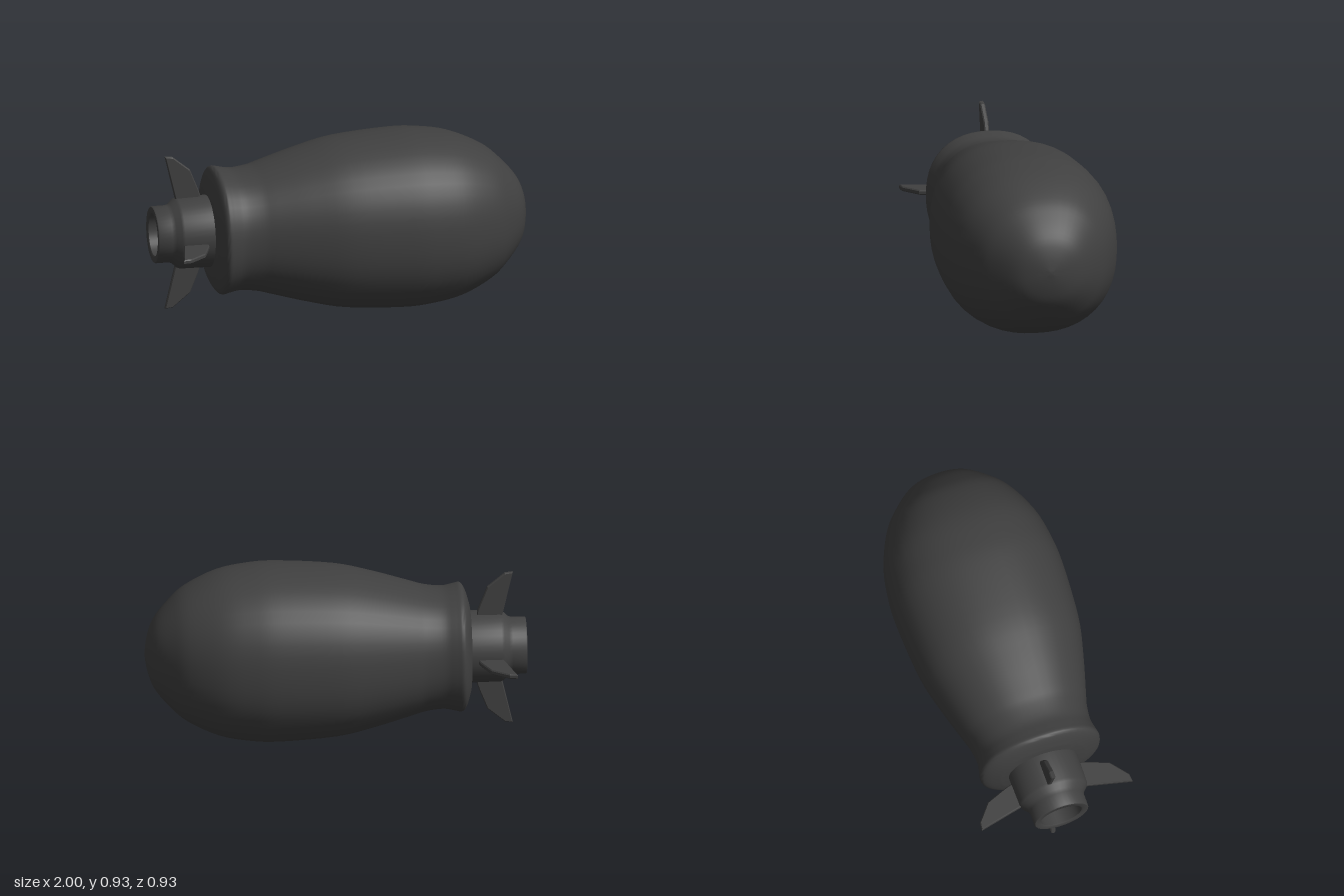
import * as THREE from 'three';
import { toCreasedNormals } from 'three/addons/utils/BufferGeometryUtils.js';

const CENTRE_Y = 0.466;

// Turns [x, radius] pairs into a solid around the x axis.
// A power above 2 swells the round section toward a soft square.
function turned(points, sides, power, crease) {
  const geo = new THREE.LatheGeometry(points, sides);
  const pos = geo.attributes.position;
  for (let i = 0; i < pos.count; i++) {
    const x = pos.getX(i), z = pos.getZ(i), r = Math.hypot(x, z);
    if (r < 1e-6) continue;
    const k = Math.pow(Math.pow(Math.abs(x / r), power) + Math.pow(Math.abs(z / r), power), -1 / power);
    pos.setX(i, x * k);
    pos.setZ(i, z * k);
  }
  geo.rotateZ(-Math.PI / 2);
  return toCreasedNormals(geo, crease);
}

const profile = (pairs) => pairs.map(([x, r]) => new THREE.Vector2(r, x));

export function createModel() {
  const model = new THREE.Group();
  const material = new THREE.MeshStandardMaterial({ color: 0x404040 });
  const add = (name, geometry, parent) => {
    const mesh = new THREE.Mesh(geometry, material);
    mesh.name = name;
    parent.add(mesh);
    return mesh;
  };

  const shell = new THREE.Group();
  shell.name = 'shell';
  shell.position.y = CENTRE_Y;
  model.add(shell);

  // Bulbous body with a flared rim and flat rear face
  const outline = new THREE.SplineCurve(profile([
    [-0.705, 0.23], [-0.685, 0.295], [-0.66, 0.33], [-0.62, 0.325], [-0.56, 0.315],
    [-0.47, 0.325], [-0.39, 0.347], [-0.2, 0.4], [0, 0.443], [0.3, 0.463],
    [0.46, 0.455], [0.62, 0.424], [0.78, 0.35], [0.87, 0.275], [0.95, 0.18],
    [0.985, 0.09], [1, 0],
  ])).getPoints(64);
  outline[outline.length - 1].x = 0;
  const bodyPoints = [new THREE.Vector2(0, -0.705), ...outline];
  add('body', turned(bodyPoints, 48, 2.3, 0.8), shell);

  // Hollow tail tube, stepped down at the open end
  add('tailTube', turned(profile([
    [-0.84, 0], [-0.84, 0.112], [-0.995, 0.112], [-1, 0.118], [-1, 0.146], [-0.995, 0.15],
    [-0.925, 0.15], [-0.905, 0.157], [-0.88, 0.182], [-0.865, 0.187], [-0.69, 0.19],
  ]), 40, 2, 0.7), shell);

  // Four swept fins, set slightly off the axis planes
  const outlineFin = new THREE.Shape(profile([
    [-0.865, 0.16], [-0.745, 0.16], [-0.748, 0.2], [-0.76, 0.235],
    [-0.8, 0.335], [-0.89, 0.408], [-0.925, 0.413],
  ]).map((p) => new THREE.Vector2(p.y, p.x)));
  const finGeo = new THREE.ExtrudeGeometry(outlineFin, {
    depth: 0.014, bevelEnabled: true, bevelThickness: 0.006, bevelSize: 0.005, bevelSegments: 1,
  });
  finGeo.translate(0, 0, -0.007);
  const fins = new THREE.Group();
  fins.name = 'fins';
  shell.add(fins);
  ['top', 'front', 'bottom', 'back'].forEach((side, i) => {
    const fin = add(side + 'Fin', finGeo, fins);
    fin.rotation.x = i * Math.PI / 2;
    if (i % 2) fin.position.y = -0.024;
    else fin.position.z = -0.02;
  });

  return model;
}
